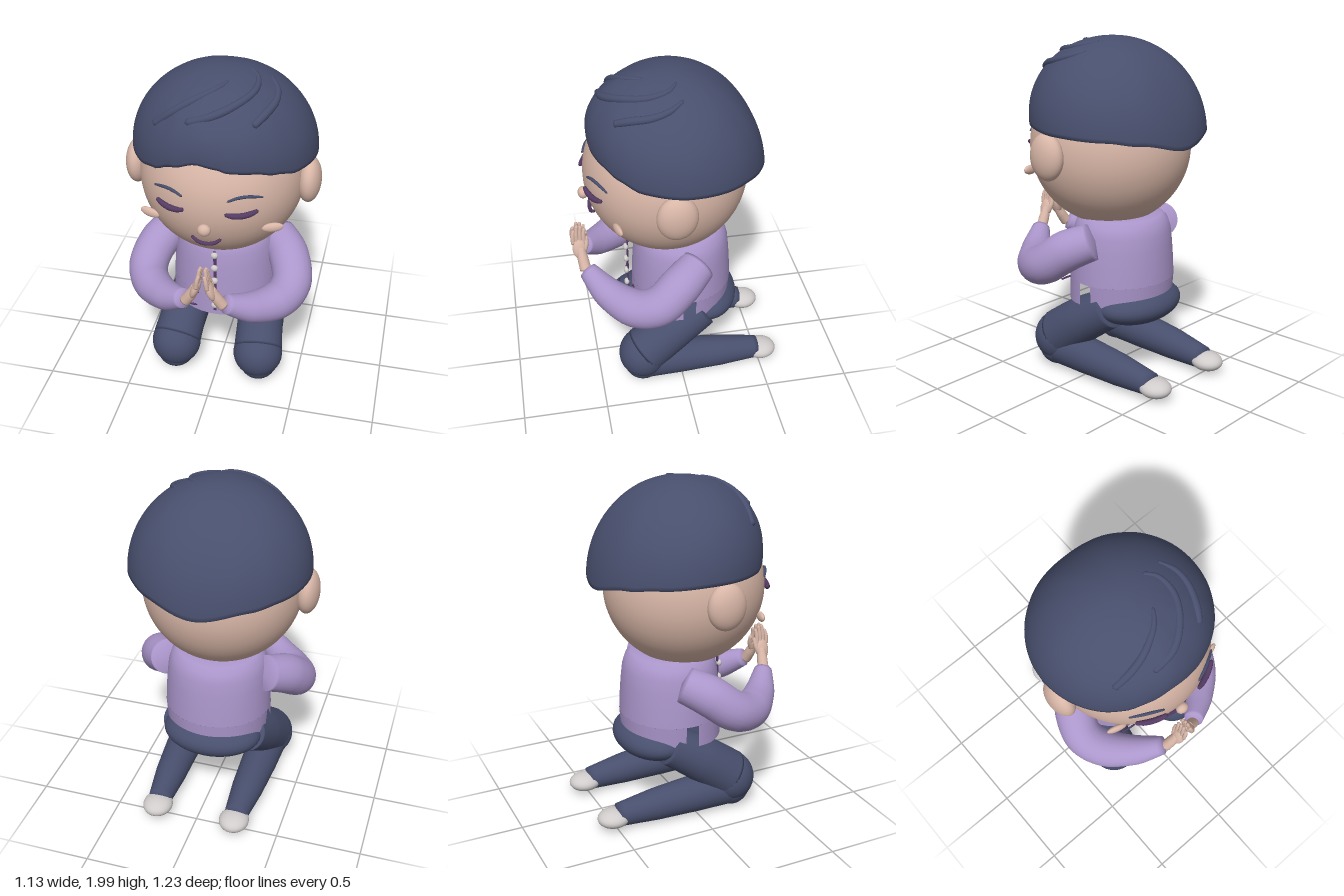
import * as THREE from 'three';
import { mergeVertices } from 'three/addons/utils/BufferGeometryUtils.js';
import { ParametricGeometry } from 'three/addons/geometries/ParametricGeometry.js';

const mat = (name, color, side = THREE.FrontSide) => {
  const m = new THREE.MeshStandardMaterial({ color, side });
  m.name = name;
  return m;
};

// Weld seams, then compute smooth normals
function smooth(geo) {
  geo.deleteAttribute('uv');
  geo.deleteAttribute('normal');
  const g = mergeVertices(geo, 1e-5);
  g.computeVertexNormals();
  return g;
}

// Tube along a curve with a radius for each control point, closed at both ends
function taperTube(points, radii, seg = 36, sides = 20) {
  const curve = new THREE.CatmullRomCurve3(points.map(p => new THREE.Vector3(...p)));
  const geo = new THREE.TubeGeometry(curve, seg, 1, sides, false);
  const pos = geo.attributes.position, v = new THREE.Vector3();
  for (let i = 0; i <= seg; i++) {
    const c = curve.getPointAt(i / seg);
    const f = (i / seg) * (radii.length - 1), k = Math.min(Math.floor(f), radii.length - 2);
    const r = i === 0 || i === seg ? 0 : THREE.MathUtils.lerp(radii[k], radii[k + 1], f - k);
    for (let j = 0; j <= sides; j++) {
      const n = i * (sides + 1) + j;
      v.fromBufferAttribute(pos, n).sub(c).multiplyScalar(r).add(c);
      pos.setXYZ(n, v.x, v.y, v.z);
    }
  }
  return smooth(geo);
}

// Hairline height by angle in degrees, 0 at the front
const RIM = [[-180, 1.415], [-146, 1.47], [-127, 1.49], [-90, 1.505], [-50, 1.505], [-35, 1.53],
  [-22, 1.58], [-5, 1.63], [5, 1.615], [14, 1.59], [28, 1.58], [42, 1.55], [59, 1.515],
  [90, 1.5], [127, 1.49], [146, 1.47], [180, 1.415]];
function rimY(theta) {
  const d = THREE.MathUtils.clamp(THREE.MathUtils.radToDeg(theta), -180, 180);
  let i = 0;
  while (i < RIM.length - 2 && d > RIM[i + 1][0]) i++;
  const t = (d - RIM[i][0]) / (RIM[i + 1][0] - RIM[i][0]);
  return THREE.MathUtils.lerp(RIM[i][1], RIM[i + 1][1], t * t * (3 - 2 * t));
}
const HX = 0.525, HZ = 0.5, HC = -0.012;

// Point on the hair from angle and radius fraction
function hairPoint(theta, f, target, lift = 0) {
  const rim = rimY(theta), h = Math.sqrt(Math.max(0, 1 - f * f));
  return target.set(HX * f * Math.sin(theta), rim + (2 - rim) * h + lift,
    HC + HZ * f * Math.cos(theta) + 0.04 * h + lift);
}

export function createModel() {
  const root = new THREE.Group();
  const navy = mat('navy', 0x484f6d, THREE.DoubleSide);
  const skin = mat('skin', 0xd8b6a7);
  const lilac = mat('lilac', 0xab96cb, THREE.DoubleSide);
  const plum = mat('plum', 0x553b63);
  const pale = mat('pale grey', 0xd0cccb);

  const add = (name, geo, material, parent = root) => {
    const m = new THREE.Mesh(geo, material);
    m.name = name;
    parent.add(m);
    return m;
  };
  const ball = (name, p, s, material, rz = 0, ry = 0) => {
    const m = add(name, new THREE.SphereGeometry(1, 40, 28), material);
    m.position.set(...p);
    m.scale.set(...s);
    m.rotation.set(0, ry, rz);
    return m;
  };
  const tube = (name, pts, radii, material, seg, sides) => add(name, taperTube(pts, radii, seg, sides), material);
  // Lift an x, y point onto the face
  const onFace = (x, y, r = 0.478) => [x, y, 0.05 + Math.sqrt(r * r - x * x - (y - 1.37) ** 2)];

  // Head
  add('head', new THREE.SphereGeometry(0.47, 64, 48), skin).position.set(0, 1.37, 0.05);
  ball('nose', [0, 1.255, 0.525], [0.037, 0.035, 0.03], skin);
  tube('mouth', [[-0.085, 1.175, 0.475], [-0.045, 1.152, 0.488], [0, 1.145, 0.492], [0.045, 1.152, 0.488], [0.085, 1.175, 0.475]],
    [0.008, 0.011, 0.011, 0.011, 0.008], plum, 24, 10);

  // Hair cap with a lip turned in to the head
  const cap = new ParametricGeometry((u, v, target) => {
    const theta = Math.PI * (1 - 2 * u);
    const k = Math.max(0, (v - 0.9) / 0.1);
    hairPoint(theta, Math.sin(Math.min(v / 0.9, 1) * Math.PI / 2), target);
    target.x *= 1 - 0.1 * k;
    target.z = HC + (target.z - HC) * (1 - 0.1 * k);
    target.y += 0.02 * k;
  }, 96, 40);
  add('hair', smooth(cap), navy);

  // Raised locks, given as x, z on the cap
  const locks = [
    [[-0.32, 0.33], [-0.2, 0.335], [-0.1, 0.31], [0.01, 0.24], [0.06, 0.17]],
    [[-0.13, 0.41], [0.02, 0.39], [0.14, 0.29], [0.2, 0.17], [0.19, 0.06], [0.13, 0]],
    [[0.22, 0.37], [0.265, 0.29], [0.305, 0.17], [0.3, 0.08], [0.25, -0.01]],
  ];
  for (const lock of locks) {
    const pts = lock.map(([x, z]) => {
      const zz = z - 0.03 - HC;
      return hairPoint(Math.atan2(x / HX, zz / HZ), Math.hypot(x / HX, zz / HZ), new THREE.Vector3(), -0.004).toArray();
    });
    tube('hairLock', pts, [0.02, 0.024, 0.022, 0.018, 0.01], navy, 36, 12);
  }

  // Jacket body, with a skirt split at the sides
  const lathe = (name, prof, a, len) => {
    const g = new THREE.LatheGeometry(prof.map(p => new THREE.Vector2(...p)), 48, a, len);
    const m = add(name, g, lilac);
    m.scale.set(0.32, 1, 0.3);
    m.position.z = -0.043;
    return m;
  };
  lathe('jacketBody', [[1, 0.6], [0.985, 0.7], [0.96, 0.8], [0.93, 0.88], [0.87, 0.94], [0.76, 0.972], [0.5, 0.98], [0, 0.98]], 0, Math.PI * 2);
  const rad = THREE.MathUtils.degToRad;
  lathe('jacketFrontSkirt', [[1.01, 0.46], [1, 0.6]], rad(-82), rad(164));
  lathe('jacketBackSkirt', [[0.97, 0.47], [1, 0.6]], rad(97), rad(166));

  // Placket and buttons
  add('placket', new THREE.BoxGeometry(0.016, 0.43, 0.008), plum).position.set(0, 0.725, 0.282);
  for (let i = 0; i < 5; i++) ball('button', [0, 0.555 + i * 0.091, 0.292], [0.021, 0.021, 0.016], pale);

  ball('pelvis', [0, 0.45, -0.17], [0.3, 0.12, 0.215], navy);

  for (const s of [1, -1]) {
    const side = s > 0 ? 'left' : 'right';
    const mx = pts => pts.map(([x, y, z]) => [x * s, y, z]);

    // Face details
    ball(side + 'Ear', [0.495 * s, 1.37, 0.07], [0.068, 0.135, 0.114], skin);
    ball(side + 'Cheek', [0.345 * s, 1.223, 0.372], [0.06, 0.028, 0.018], skin, 0.12 * s, 0.25 * s);
    tube(side + 'Eye', [[0.11, 1.37], [0.15, 1.358], [0.195, 1.354], [0.24, 1.36], [0.28, 1.374]].map(([x, y]) => onFace(x * s, y, 0.486)),
      [0.01, 0.016, 0.017, 0.016, 0.01], plum, 24, 10);
    tube(side + 'Brow', [[0.12, 1.44], [0.17, 1.457], [0.22, 1.46], [0.3, 1.44]].map(([x, y]) => onFace(x * s, y)),
      [0.006, 0.009, 0.009, 0.005], navy, 24, 8);

    // Sleeve
    tube(side + 'Sleeve', mx([[0.29, 0.875, -0.1], [0.39, 0.81, 0.03], [0.435, 0.715, 0.16], [0.395, 0.675, 0.28], [0.27, 0.695, 0.42], [0.11, 0.785, 0.545]]),
      [0.105, 0.12, 0.118, 0.11, 0.088, 0.052], lilac, 48, 24);

    // Hand: wrist, palm, four fingers and thumb
    tube(side + 'Wrist', mx([[0.115, 0.765, 0.545], [0.075, 0.83, 0.556], [0.04, 0.9, 0.565]]), [0.034, 0.032, 0.024], skin, 16, 14);
    ball(side + 'Palm', [0.042 * s, 0.89, 0.57], [0.024, 0.068, 0.042], skin, 0.35 * s);
    for (let i = 0; i < 4; i++) {
      const z = 0.54 + i * 0.021, top = [1.015, 1.035, 1.04, 1.005][i];
      tube(side + 'Finger', mx([[0.032, 0.91, z], [0.024, 0.97, z + 0.002], [0.014, top, z - 0.006]]), [0.014, 0.013, 0.009], skin, 14, 10);
    }
    tube(side + 'Thumb', mx([[0.05, 0.86, 0.55], [0.036, 0.91, 0.53], [0.02, 0.96, 0.525]]), [0.018, 0.015, 0.01], skin, 14, 10);

    // Pocket outline
    tube(side + 'PocketFlap', mx([[0.1, 0.615, 0.27], [0.16, 0.613, 0.268], [0.215, 0.607, 0.255]]), [0.006, 0.006, 0.006], plum, 10, 8);
    tube(side + 'PocketHem', mx([[0.11, 0.525, 0.275], [0.16, 0.527, 0.272], [0.215, 0.53, 0.26]]), [0.006, 0.006, 0.006], plum, 10, 8);
    tube(side + 'PocketEdge', mx([[0.214, 0.605, 0.257], [0.216, 0.53, 0.26]]), [0.004, 0.004], plum, 6, 8);

    // Folded leg and shoe
    tube(side + 'Thigh', mx([[0.2, 0.46, -0.15], [0.235, 0.34, 0.05], [0.258, 0.2, 0.24]]), [0.118, 0.138, 0.148], navy, 30, 24);
    ball(side + 'Knee', [0.258 * s, 0.19, 0.24], [0.15, 0.152, 0.146], navy);
    ball(side + 'KneeBase', [0.262 * s, 0.13, 0.24], [0.118, 0.122, 0.12], navy);
    tube(side + 'Shin', mx([[0.262, 0.13, 0.26], [0.255, 0.122, 0], [0.248, 0.108, -0.26], [0.24, 0.09, -0.51]]),
      [0.115, 0.11, 0.095, 0.066], navy, 30, 24);
    ball(side + 'Shoe', [0.24 * s, 0.08, -0.515], [0.089, 0.054, 0.097], pale);
  }
  return root;
}
